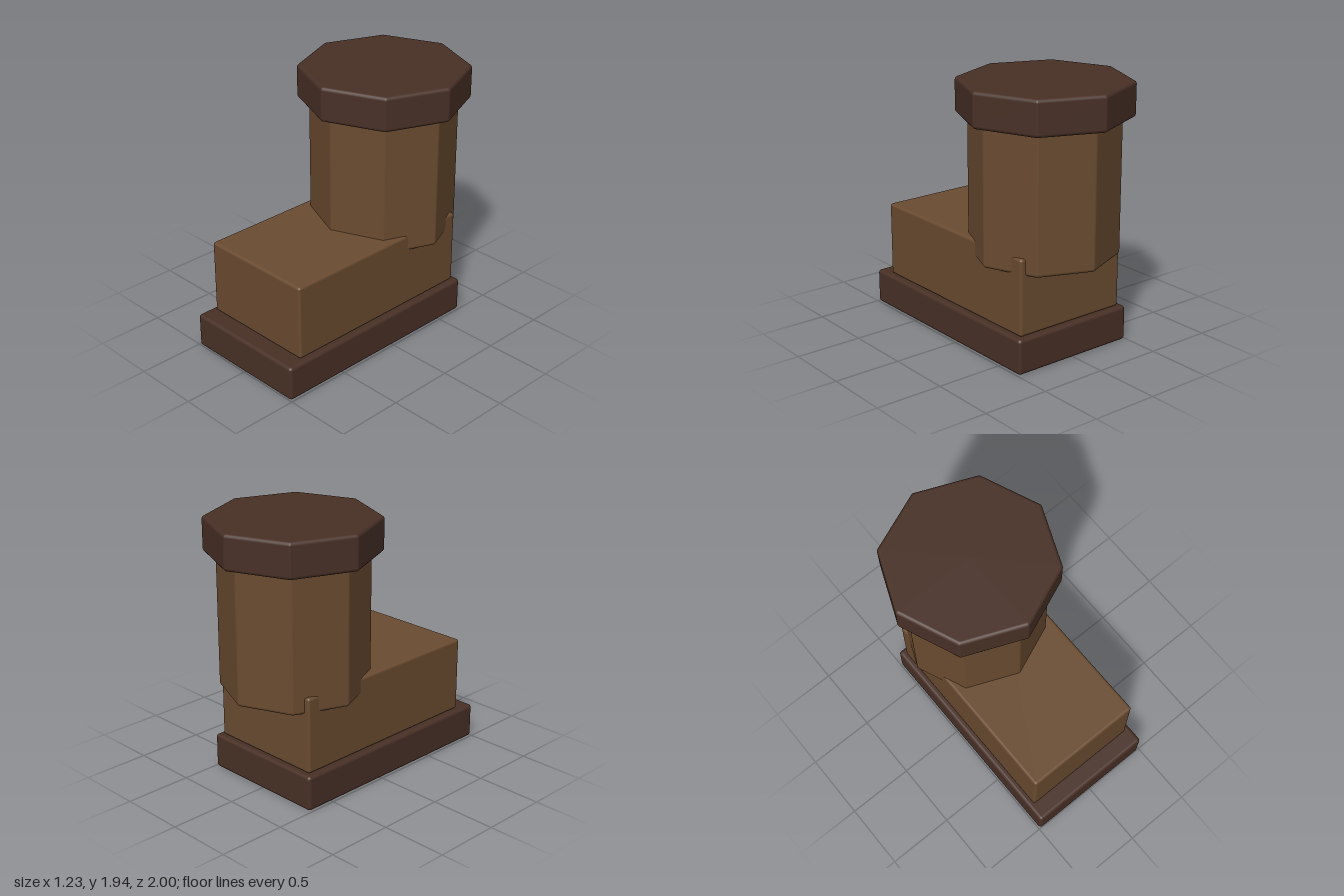
import * as THREE from 'three';
import { RoundedBoxGeometry } from 'three/addons/geometries/RoundedBoxGeometry.js';

const SIDES = 8;
const STEPS = 4; // segments in each rounded edge

// Upright octagonal prism with evenly rounded edges and exact normals
function roundedPrism(radius, y0, y1, r) {
  const pos = [], nor = [], idx = [];
  const half = Math.PI / SIDES;
  const core = radius - r / Math.cos(half);
  const cols = SIDES * (STEPS + 1);
  const rows = 2 * (STEPS + 1);
  for (let j = 0; j < rows; j++) {
    const upper = j > STEPS;
    const phi = ((upper ? j - STEPS - 1 : j - STEPS) / STEPS) * Math.PI / 2;
    const y = (upper ? y1 - r : y0 + r) + r * Math.sin(phi);
    for (let i = 0; i < SIDES; i++) {
      const a = i * 2 * half;
      for (let k = 0; k <= STEPS; k++) {
        const b = a - half + (k / STEPS) * 2 * half;
        const c = Math.cos(phi);
        const nx = Math.sin(b) * c, nz = Math.cos(b) * c;
        pos.push(core * Math.sin(a) + r * nx, y, core * Math.cos(a) + r * nz);
        nor.push(nx, Math.sin(phi), nz);
      }
    }
  }
  for (let j = 0; j < rows - 1; j++) {
    for (let i = 0; i < cols; i++) {
      const n = (i + 1) % cols;
      const a = j * cols + i, b = j * cols + n;
      idx.push(a, b, b + cols, a, b + cols, a + cols);
    }
  }
  // flat ends
  const bottom = pos.length / 3, top = bottom + 1;
  pos.push(0, y0, 0, 0, y1, 0);
  nor.push(0, -1, 0, 0, 1, 0);
  for (let i = 0; i < cols; i++) {
    const n = (i + 1) % cols, last = (rows - 1) * cols;
    idx.push(bottom, n, i, top, last + i, last + n);
  }
  const g = new THREE.BufferGeometry();
  g.setAttribute('position', new THREE.Float32BufferAttribute(pos, 3));
  g.setAttribute('normal', new THREE.Float32BufferAttribute(nor, 3));
  g.setIndex(idx);
  return g;
}

// Rounded box given by its limits
function roundedBox(halfWidth, y0, y1, z0, z1, r) {
  return new RoundedBoxGeometry(2 * halfWidth, y1 - y0, z1 - z0, STEPS, r)
    .translate(0, (y0 + y1) / 2, (z0 + z1) / 2);
}

export function createModel() {
  const boot = new THREE.Group();
  boot.name = 'boot';

  const leather = new THREE.MeshStandardMaterial({ color: 0x6a4b30 });
  leather.name = 'brown leather';
  const dark = new THREE.MeshStandardMaterial({ color: 0x483026 });
  dark.name = 'dark leather';

  const add = (name, geometry, material, z = 0) => {
    const mesh = new THREE.Mesh(geometry, material);
    mesh.name = name;
    mesh.position.z = z;
    boot.add(mesh);
  };

  // Foot
  add('sole', roundedBox(0.492, 0, 0.26, -0.72, 1, 0.025), dark);
  add('foot', roundedBox(0.45, 0.26, 0.82, -0.68, 0.87, 0.02), leather);

  // Leg
  add('shaft', roundedPrism(0.533, 0.695, 1.72, 0.025), leather, -0.382);
  add('cuff', roundedPrism(0.618, 1.685, 1.94, 0.025), dark, -0.384);

  return boot;
}
